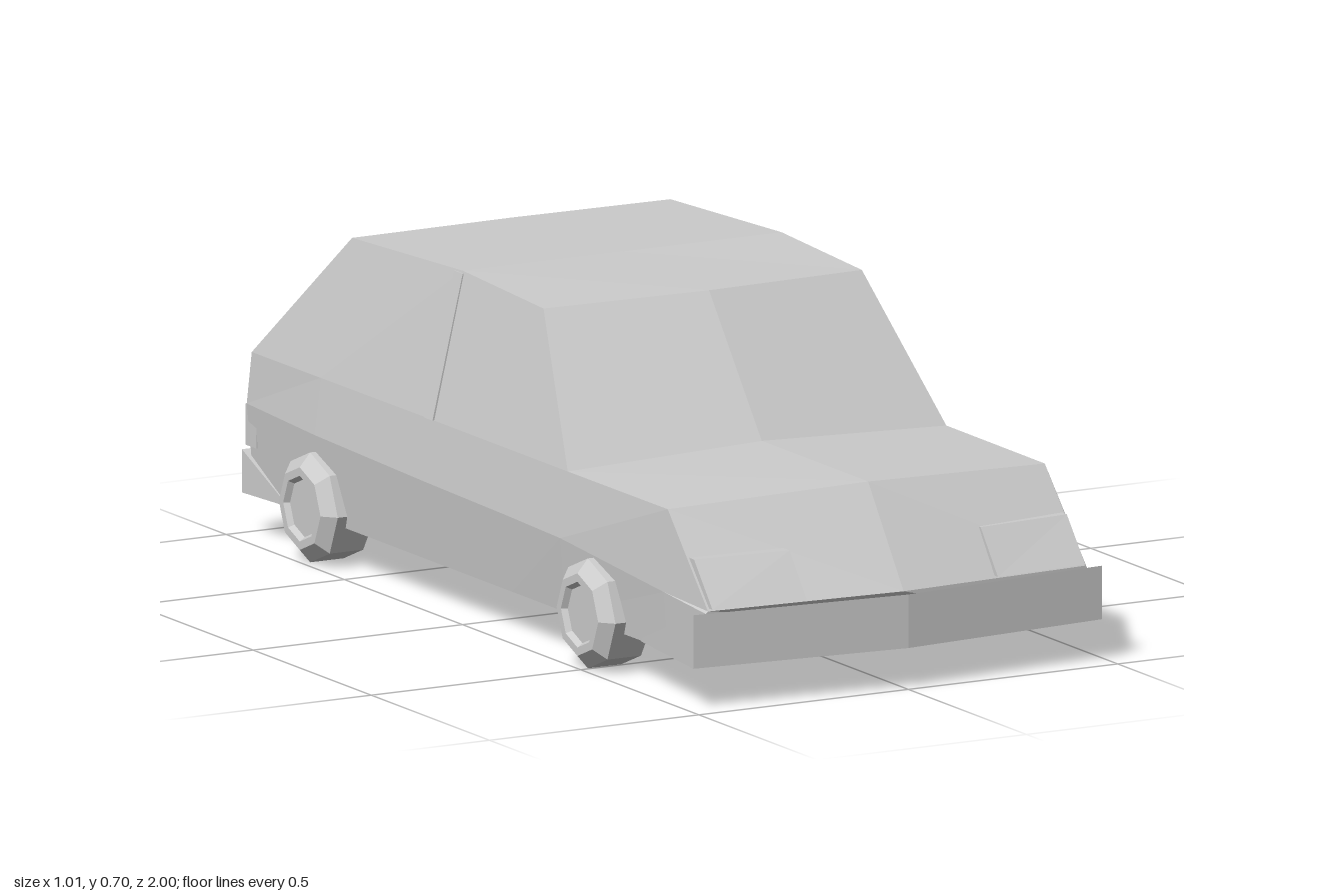
import * as THREE from 'three';

const material = new THREE.MeshStandardMaterial({ color: 0xcccccc, flatShading: true });

// Skin over matching loops of points; each loop runs counter-clockwise seen from the first end.
function loft(name, loops) {
  const pos = [];
  const tri = (a, b, c) => pos.push(...a, ...b, ...c);
  const n = loops[0].length;
  for (let s = 0; s + 1 < loops.length; s++) {
    for (let i = 0; i < n; i++) {
      const j = (i + 1) % n;
      const a = loops[s][i], b = loops[s][j], c = loops[s + 1][j], d = loops[s + 1][i];
      tri(a, d, c);
      tri(a, c, b);
    }
  }
  const first = loops[0], last = loops[loops.length - 1];
  for (let i = 1; i + 1 < n; i++) {
    tri(first[0], first[i], first[i + 1]);
    tri(last[0], last[i + 1], last[i]);
  }
  const geo = new THREE.BufferGeometry();
  geo.setAttribute('position', new THREE.Float32BufferAttribute(pos, 3));
  geo.computeVertexNormals();
  const mesh = new THREE.Mesh(geo, material);
  mesh.name = name;
  return mesh;
}

const mirrorX = ([x, y, z]) => [-x, y, z];

// Whole body cross-section from its +x half: sill, crease, belt, top edge, then top centre.
function section(half, centre) {
  return [...half, centre, ...half.map(mirrorX).reverse()];
}

function body() {
  const F = 0.09;
  return loft('body', [
    // nose, hood front, cowl
    section([[.45, F, .95], [.455, .2, .95], [.45, .205, .95], [.45, .205, .95]], [0, .205, .98]),
    section([[.452, F, .78], [.46, .215, .78], [.45, .39, .78], [.45, .39, .78]], [0, .41, .83]),
    section([[.455, F, .36], [.47, .25, .36], [.452, .39, .36], [.452, .39, .36]], [0, .41, .38]),
    // windshield top, roof peak, roof rear
    section([[.455, F, .13], [.47, .255, .13], [.452, .39, .13], [.38, .685, .13]], [0, .688, .157]),
    section([[.455, F, -.21], [.47, .26, -.21], [.452, .39, -.21], [.38, .7, -.21]], [0, .7, -.21]),
    section([[.455, F, -.68], [.47, .27, -.68], [.455, .39, -.68], [.38, .68, -.68]], [0, .682, -.68]),
    // tail
    section([[.45, F, -.968], [.465, .28, -.975], [.457, .39, -.968], [.457, .39, -.968]], [0, .39, -.98]),
  ]);
}

// Bowed bumper whose ends taper back along the sides to a point.
function bumper(name, sign, { half, top, corner, centre, tip, tipX }) {
  const y = 0.088;
  const loop = (x, z, xt) => {
    const p = [[x, y, z], [xt, y, tip], [xt, y + .006, tip], [x, top, z]];
    return sign > 0 ? p : p.map(([a, b, c]) => [a, b, -c]).reverse();
  };
  return loft(name, [loop(half, corner, tipX), loop(0, centre, 0), loop(-half, corner, -tipX)]);
}

// Eight-cornered block: outer and inner end faces, mirrored to both sides.
function pair(name, outer, inner) {
  const group = new THREE.Group();
  group.name = name + 's';
  group.add(loft(name + 'Left', [outer, inner]));
  group.add(loft(name + 'Right', [inner.map(mirrorX), outer.map(mirrorX)]));
  return group;
}

// Octagonal tyre with bevelled shoulders and a sunken hub, axis along x.
function wheel(side, z) {
  const profile = [[0, -.065], [.085, -.065], [.117, -.04], [.117, .04], [.088, .065],
    [.07, .065], [.062, .053], [0, .053]].map(p => new THREE.Vector2(...p));
  const geo = new THREE.LatheGeometry(profile, 8);
  geo.rotateZ(-Math.PI / 2);
  const mesh = new THREE.Mesh(geo, material);
  mesh.position.set(side * .44, .117, z);
  if (side < 0) mesh.rotation.y = Math.PI;
  mesh.name = (z > 0 ? 'front' : 'rear') + (side > 0 ? 'Left' : 'Right') + 'Wheel';
  return mesh;
}

export function createModel() {
  const car = new THREE.Group();
  car.name = 'car';
  car.add(body());
  car.add(bumper('frontBumper', 1,
    { half: .488, top: .202, corner: .955, centre: 1, tip: .67, tipX: .452 }));
  car.add(bumper('rearBumper', -1,
    { half: .468, top: .18, corner: .99, centre: 1, tip: .83, tipX: .454 }));

  // headlights on the sloping nose
  car.add(pair('headlight',
    [[.445, .21, .96], [.445, .21, .85], [.445, .302, .8], [.445, .302, .882]],
    [[.228, .21, .975], [.228, .21, .85], [.228, .302, .8], [.228, .302, .902]]));

  // tail lights
  car.add(pair('tailLight',
    [[.462, .19, -.94], [.462, .19, -.985], [.462, .278, -.985], [.462, .278, -.94]],
    [[.23, .19, -.94], [.23, .19, -.992], [.23, .278, -.992], [.23, .278, -.94]]));

  // slim door pillars between the side windows
  car.add(pair('doorPillar',
    [[.456, .39, -.205], [.456, .39, -.24], [.384, .695, -.24], [.384, .695, -.205]],
    [[.44, .39, -.205], [.44, .39, -.24], [.37, .695, -.24], [.37, .695, -.205]]));

  for (const side of [1, -1]) for (const z of [.495, -.68]) car.add(wheel(side, z));
  return car;
}
